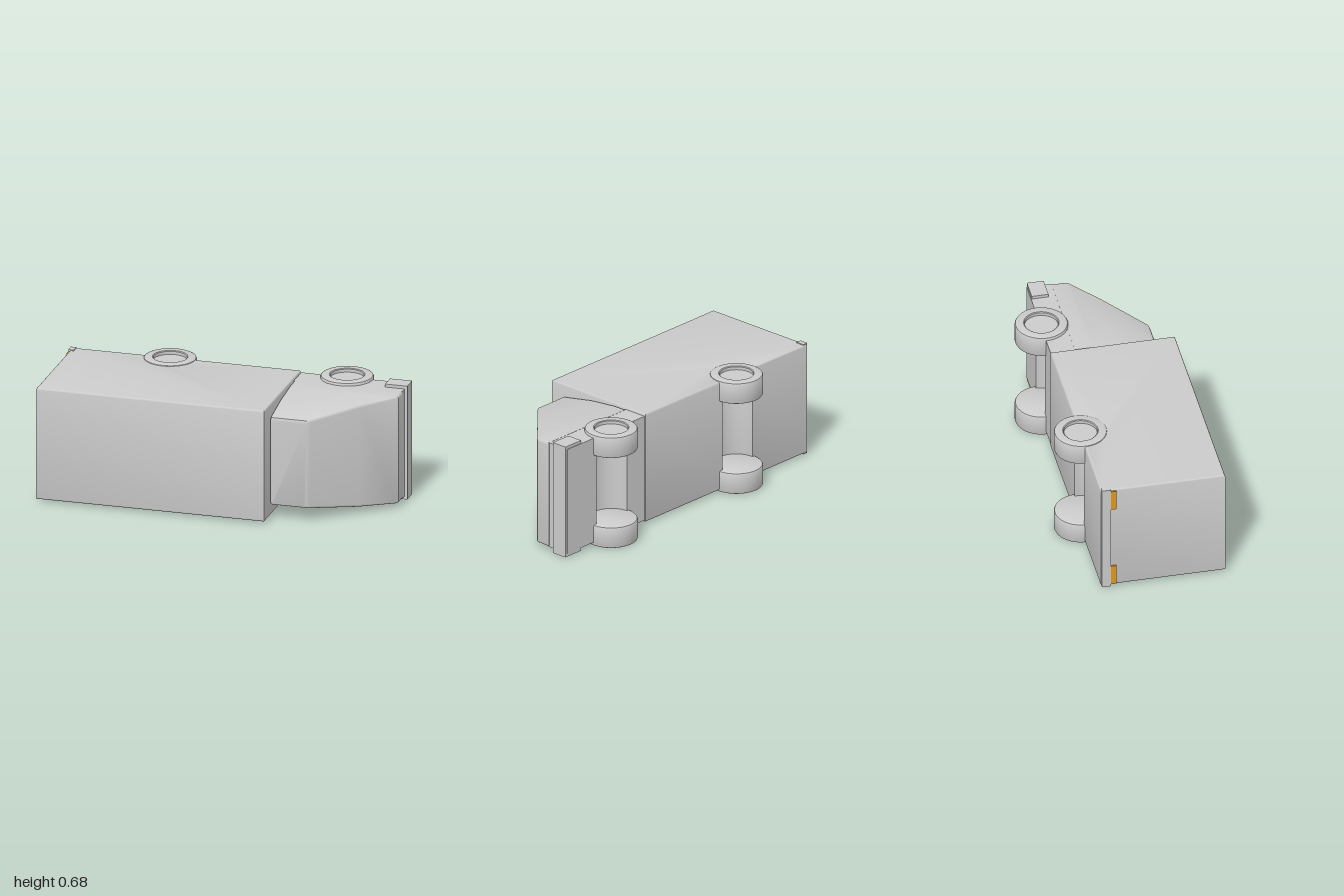
import * as THREE from 'three';
import { toCreasedNormals } from 'three/addons/utils/BufferGeometryUtils.js';

const MID = 0.342; // centre of the truck's width, which runs along y
const WHEEL_Z = -0.28;
const AXLES = { rear: -0.415, front: 0.62 };

const grey = new THREE.MeshStandardMaterial({ color: 0xcccccc });
const orange = new THREE.MeshStandardMaterial({ color: 0xe39a1c });

function add(group, name, geometry, material = grey) {
  const mesh = new THREE.Mesh(geometry, material);
  mesh.name = name;
  group.add(mesh);
  return mesh;
}

// Box given by its limits on each axis
function block(x0, x1, y0, y1, z0, z1) {
  return new THREE.BoxGeometry(x1 - x0, y1 - y0, z1 - z0)
    .translate((x0 + x1) / 2, (y0 + y1) / 2, (z0 + z1) / 2);
}

// Side profile with a round axle channel in the floor, extruded across the width
function notchedBody(x0, x1, z0, z1, halfWidth, axleX, radius, bevel) {
  const b = bevel;
  const r = radius + b;
  const shape = new THREE.Shape();
  shape.moveTo(x0 + b, z0 + b);
  shape.lineTo(axleX - r, z0 + b);
  shape.absarc(axleX, z0 + b, r, Math.PI, 0, true);
  shape.lineTo(x1 - b, z0 + b);
  shape.lineTo(x1 - b, z1 - b);
  shape.lineTo(x0 + b, z1 - b);
  shape.closePath();
  const depth = 2 * (halfWidth - b);
  const geometry = new THREE.ExtrudeGeometry(shape, {
    depth, curveSegments: 24, bevelEnabled: b > 0,
    bevelSize: b, bevelThickness: b, bevelSegments: 3,
  });
  geometry.rotateX(Math.PI / 2).translate(0, MID + depth / 2, 0);
  return toCreasedNormals(geometry, 0.6);
}

// Loft of rounded rectangles; each level is [z, xBack, xFront, halfWidth]
function loft(levels, radius) {
  const steps = 4;
  const ringSize = 4 * (steps + 1);
  const points = [];
  const index = [];
  for (const [z, x0, x1, w] of levels) {
    const corners = [[x1, w], [x0, w], [x0, -w], [x1, -w]];
    corners.forEach(([x, y], c) => {
      const cx = x - Math.sign(x - (x0 + x1) / 2) * radius;
      const cy = y - Math.sign(y) * radius;
      for (let s = 0; s <= steps; s++) {
        const a = (c + s / steps) * Math.PI / 2;
        points.push(cx + radius * Math.cos(a), MID + cy + radius * Math.sin(a), z);
      }
    });
  }
  for (let l = 0; l < levels.length - 1; l++) {
    for (let i = 0; i < ringSize; i++) {
      const a = l * ringSize + i;
      const b = l * ringSize + (i + 1) % ringSize;
      index.push(a, b, b + ringSize, a, b + ringSize, a + ringSize);
    }
  }
  const top = (levels.length - 1) * ringSize;
  for (let i = 1; i < ringSize - 1; i++) {
    index.push(top, top + i, top + i + 1, 0, i + 1, i);
  }
  const geometry = new THREE.BufferGeometry();
  geometry.setAttribute('position', new THREE.Float32BufferAttribute(points, 3));
  geometry.setIndex(index);
  return toCreasedNormals(geometry, 0.5);
}

// Wheel with rounded shoulders and a recessed hub on its outer (lower) face
function wheelGeometry() {
  const profile = [
    [0, 0.022], [0.095, 0.022], [0.095, 0.004], [0.1, 0], [0.138, 0],
    [0.146, 0.004], [0.15, 0.012], [0.15, 0.117], [0.146, 0.125], [0.138, 0.129], [0, 0.129],
  ].map(([r, y]) => new THREE.Vector2(r, y));
  return toCreasedNormals(new THREE.LatheGeometry(profile, 48), 0.6);
}

export function createModel() {
  const truck = new THREE.Group();
  truck.name = 'boxTruck';

  // Cargo box
  add(truck, 'cargoBox', notchedBody(-0.99, 0.346, -0.288, 0.426, 0.33, AXLES.rear, 0.125, 0.01));

  // Cab: floor section with its axle channel, then the tapering upper part
  const cab = new THREE.Group();
  cab.name = 'cab';
  truck.add(cab);
  add(cab, 'cabFloor', notchedBody(0.35, 0.985, -0.285, -0.14, 0.318, AXLES.front, 0.125, 0));
  add(cab, 'cabBody', loft([
    [-0.145, 0.35, 0.987, 0.319],
    [-0.055, 0.35, 0.987, 0.318],
    [-0.04, 0.35, 0.975, 0.316],
    [0.11, 0.35, 0.808, 0.301],
    [0.315, 0.35, 0.585, 0.262],
    [0.324, 0.353, 0.574, 0.258],
    [0.328, 0.362, 0.562, 0.25],
  ], 0.014));

  // Bumpers wrap the ends of the body
  add(truck, 'frontBumper', block(0.87, 1, 0.004, 0.678, -0.281, -0.185));
  add(truck, 'rearBumper', block(-0.997, -0.965, 0.006, 0.677, -0.283, -0.232));

  // Tail lights
  for (const [name, y0, y1] of [['leftTailLight', 0.54, 0.665], ['rightTailLight', 0.02, 0.145]]) {
    add(truck, name, block(-0.998, -0.985, y0, y1, -0.232, -0.2), orange);
  }

  // Wheels
  const wheel = wheelGeometry();
  for (const [axle, x] of Object.entries(AXLES)) {
    add(truck, axle + 'RightWheel', wheel).position.set(x, 0, WHEEL_Z);
    const left = add(truck, axle + 'LeftWheel', wheel);
    left.position.set(x, 0.679, WHEEL_Z);
    left.rotation.x = Math.PI;
  }
  return truck;
}
